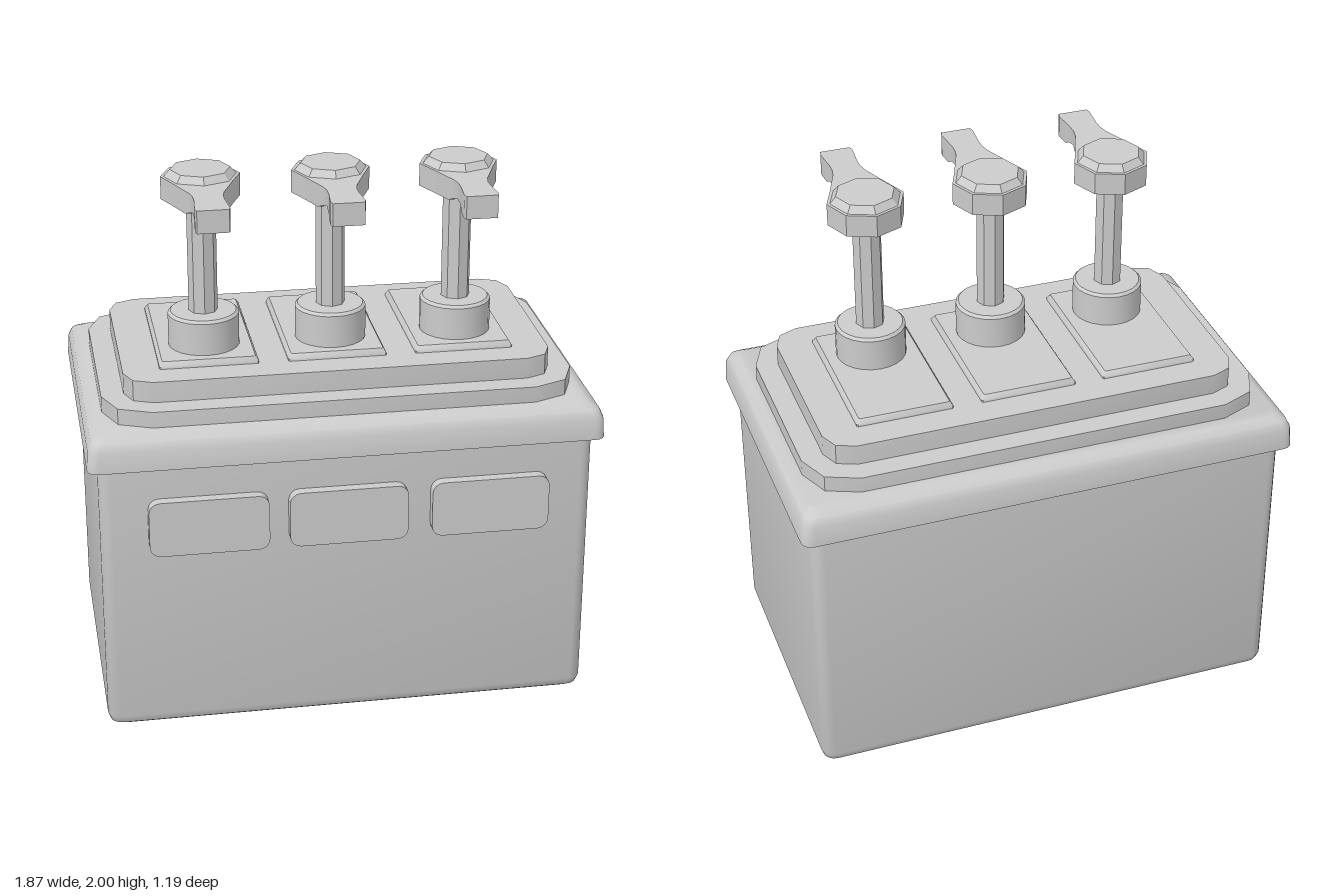
import * as THREE from 'three';
import { toCreasedNormals } from 'three/addons/utils/BufferGeometryUtils.js';

const smooth = new THREE.MeshStandardMaterial({ color: 0xcccccc });
const faceted = new THREE.MeshStandardMaterial({ color: 0xcccccc, flatShading: true });

// Closed solid through counter-clockwise rings stacked along +z
function loft(rings) {
  const n = rings[0].length, pos = [], idx = [];
  rings.forEach(r => r.forEach(p => pos.push(...p)));
  for (let i = 0; i < rings.length - 1; i++) {
    for (let j = 0; j < n; j++) {
      const a = i * n + j, b = i * n + (j + 1) % n;
      idx.push(a, b, b + n, a, b + n, a + n);
    }
  }
  const last = (rings.length - 1) * n;
  for (let j = 1; j < n - 1; j++) {
    idx.push(0, j + 1, j, last, last + j, last + j + 1);
  }
  const g = new THREE.BufferGeometry();
  g.setAttribute('position', new THREE.Float32BufferAttribute(pos, 3));
  g.setIndex(idx);
  return toCreasedNormals(g, 0.7);
}

// Rounded rectangle ring: half width, half height, corner radius, offset along z
function roundRing([hw, hh, r, z], seg) {
  const pts = [];
  [[1, 1], [-1, 1], [-1, -1], [1, -1]].forEach(([sx, sy], q) => {
    for (let k = 0; k <= seg; k++) {
      const t = (q + k / seg) * Math.PI / 2;
      pts.push([sx * (hw - r) + r * Math.cos(t), sy * (hh - r) + r * Math.sin(t), z]);
    }
  });
  return pts;
}

const panel = (layers, seg) => loft(layers.map(l => roundRing(l, seg)));
const slab = (layers, seg) => panel(layers, seg).rotateX(-Math.PI / 2);

function add(parent, name, geometry, material = smooth) {
  const mesh = new THREE.Mesh(geometry, material);
  mesh.name = name;
  parent.add(mesh);
  return mesh;
}

function createPump() {
  const pump = new THREE.Group();
  const axisZ = 0.127;

  add(pump, 'pumpPad', slab([
    [0.18, 0.3, 0.005, 1.3], [0.18, 0.3, 0.005, 1.318], [0.169, 0.289, 0.005, 1.335],
  ], 1));

  const collar = new THREE.LatheGeometry(
    [[0, 1.32], [0.13, 1.32], [0.13, 1.455], [0.12, 1.465], [0, 1.465]]
      .map(p => new THREE.Vector2(...p)), 24);
  add(pump, 'collar', toCreasedNormals(collar, 0.6)).position.z = axisZ;

  const eightSided = (name, top, bottom, y0, y1) =>
    add(pump, name, new THREE.CylinderGeometry(top, bottom, y1 - y0, 8), faceted)
      .position.set(0, (y0 + y1) / 2, axisZ);
  eightSided('stem', 0.053, 0.053, 1.46, 1.9);
  eightSided('pumpHead', 0.142, 0.142, 1.892, 1.975);
  eightSided('headCap', 0.108, 0.13, 1.975, 2);

  // Spout: waisted from above, arched underneath (z, half width, underside y)
  const spout = [
    [0.18, 0.116, 1.892], [0.23, 0.1, 1.892], [0.3, 0.073, 1.892], [0.33, 0.061, 1.905],
    [0.37, 0.053, 1.916], [0.41, 0.053, 1.908], [0.44, 0.056, 1.892], [0.5, 0.061, 1.892],
    [0.52, 0.056, 1.892],
  ].map(([z, w, y]) => [[-w, y, z], [w, y, z], [w, 1.975, z], [-w, 1.975, z]]);
  add(pump, 'spout', loft(spout));
  return pump;
}

export function createModel() {
  const model = new THREE.Group();
  model.name = 'pumpDispenser';

  // Tub
  add(model, 'tub', slab([
    [0.87, 0.533, 0.04, 0], [0.888, 0.55, 0.045, 0.012],
    [0.897, 0.558, 0.045, 0.04], [0.897, 0.558, 0.045, 1.1],
  ], 4));

  // Overhanging lid
  add(model, 'lid', slab([
    [0.935, 0.592, 0.04, 1.05], [0.93, 0.588, 0.04, 1.125],
    [0.917, 0.575, 0.04, 1.155], [0.885, 0.543, 0.04, 1.172],
  ], 4));

  // Stepped deck
  add(model, 'lowerDeck', slab([[0.862, 0.496, 0.17, 1.16], [0.862, 0.496, 0.17, 1.232]], 2));
  add(model, 'upperDeck', slab([[0.78, 0.412, 0.1, 1.22], [0.78, 0.412, 0.1, 1.31]], 2));

  // Front label plates
  [-0.511, -0.006, 0.513].forEach((x, i) => {
    add(model, `labelPlate${i + 1}`, panel([
      [0.216, 0.106, 0.04, 0.54], [0.216, 0.106, 0.04, 0.597],
    ], 4)).position.set(x, 0.818, 0);
  });

  // Row of pumps
  [-0.467, 0, 0.467].forEach((x, i) => {
    const pump = createPump();
    pump.name = `pump${i + 1}`;
    pump.position.x = x;
    model.add(pump);
  });
  return model;
}
